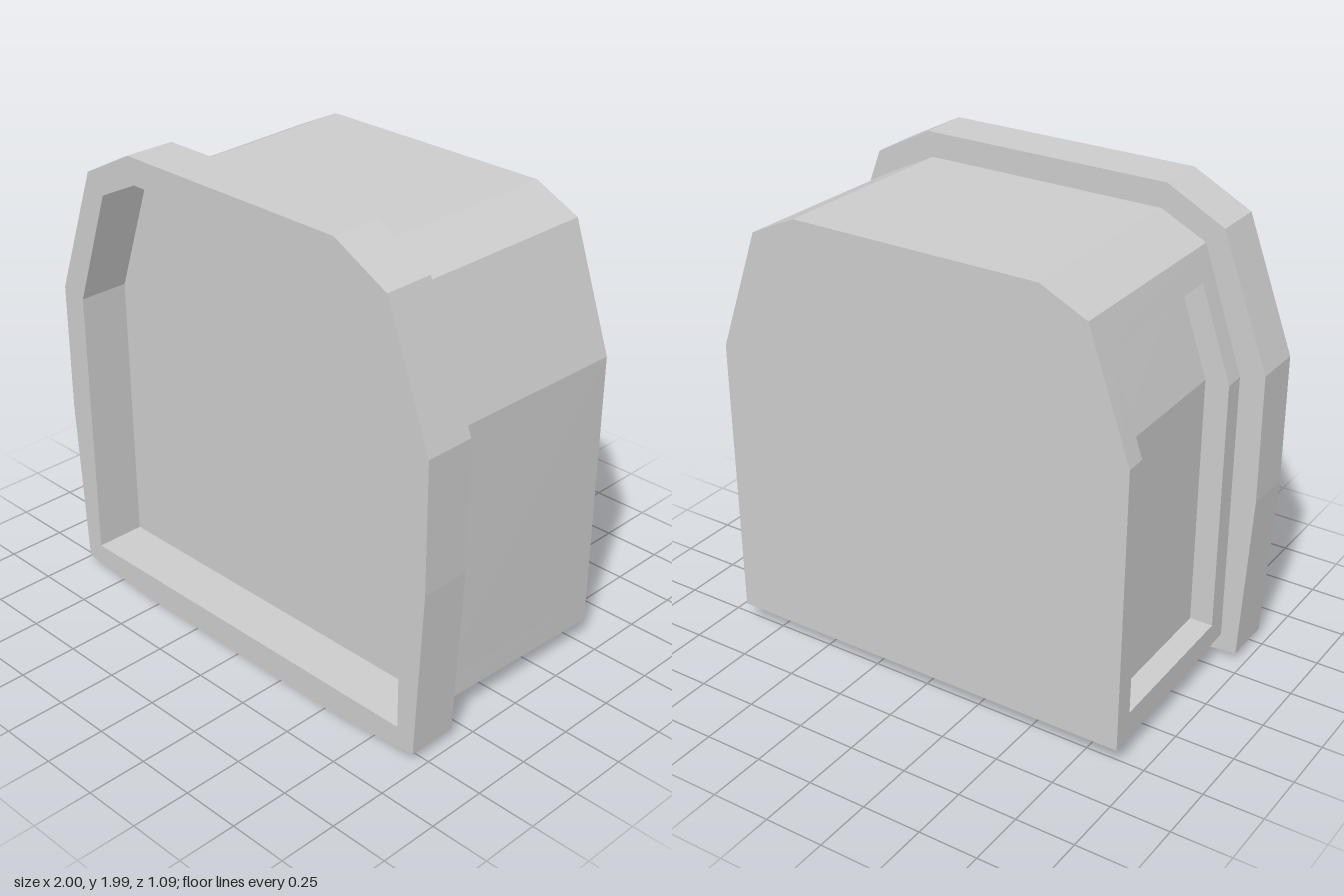
import * as THREE from 'three';

const FRONT = 0.545, STEP = 0.33, BACK = -0.545;

// Full symmetric ring, counter-clockwise from the front, from one half listed top to bottom
const ringOf = (half) => [
  ...half.map(([x, y]) => [-x, y]),
  ...half.slice().reverse(),
];

// Body half-section; the points at 2 and 4 mark the top and bottom of the side recess
function bodyHalf(topX, topY, cornerX, cornerY, waistX, waistY, footX, footY) {
  const mix = (x0, y0, x1, y1, y) => [x0 + ((x1 - x0) * (y - y0)) / (y1 - y0), y];
  return [
    [topX, topY], [cornerX, cornerY],
    mix(cornerX, cornerY, waistX, waistY, 1.67),
    [waistX, waistY],
    mix(waistX, waistY, footX, footY, 0.2),
    [footX, footY],
  ];
}

function bodyGeometry() {
  const front = ringOf(bodyHalf(0.525, 1.885, 0.72, 1.79, 0.895, 1.28, 0.89, 0.105));
  const back = ringOf(bodyHalf(0.535, 1.895, 0.735, 1.8, 0.915, 1.285, 0.905, 0.08));
  const n = front.length, pos = [];
  const tri = (a, b, c) => pos.push(...a, ...b, ...c);
  const quad = (a, b, c, d) => { tri(a, b, c); tri(a, c, d); };

  // Point i of the section at depth z, optionally pushed inwards from the -x side
  const at = (i, z, inset = 0) => {
    const t = (STEP - z) / (STEP - BACK), f = front[i % n], b = back[i % n];
    return [f[0] + (b[0] - f[0]) * t + inset, f[1] + (b[1] - f[1]) * t, z];
  };
  const strip = (i, z0, z1, inset) =>
    quad(at(i, z0, inset), at(i, z1, inset), at(i + 1, z1, inset), at(i + 1, z0, inset));

  const zA = 0.235, zB = -0.455, depth = 0.1;
  for (let i = 0; i < n; i++) {
    if (i !== 2 && i !== 3) { strip(i, STEP, BACK); continue; }
    // Border, floor and end walls of the side recess
    strip(i, STEP, zA);
    strip(i, zB, BACK);
    strip(i, zA, zB, depth);
    quad(at(i, zA), at(i, zA, depth), at(i + 1, zA, depth), at(i + 1, zA));
    quad(at(i + 1, zB), at(i + 1, zB, depth), at(i, zB, depth), at(i, zB));
  }
  // Ceiling and sill of the recess
  quad(at(2, zB), at(2, zB, depth), at(2, zA, depth), at(2, zA));
  quad(at(4, zA), at(4, zA, depth), at(4, zB, depth), at(4, zB));

  // Front panel and back
  for (let i = 1; i < n - 1; i++) {
    tri(at(0, STEP), at(i, STEP), at(i + 1, STEP));
    tri(at(0, BACK), at(i + 1, BACK), at(i, BACK));
  }

  const geo = new THREE.BufferGeometry();
  geo.setAttribute('position', new THREE.Float32BufferAttribute(pos, 3));
  geo.computeVertexNormals();
  return geo;
}

// Raised rim around the front opening
function rimGeometry() {
  const points = (half) => ringOf(half).map(([x, y]) => new THREE.Vector2(x, y));
  const shape = new THREE.Shape(points([
    [0.545, 1.99], [0.795, 1.86], [1, 1.31], [1, 0.76], [0.96, 0.035], [0.55, 0],
  ]));
  shape.holes.push(new THREE.Path(points([
    [0.515, 1.88], [0.71, 1.785], [0.885, 1.29], [0.88, 0.12],
  ])));
  return new THREE.ExtrudeGeometry(shape, { depth: FRONT - STEP, bevelEnabled: false })
    .translate(0, 0, STEP);
}

export function createModel() {
  const material = new THREE.MeshStandardMaterial({ color: 0xcccccc, flatShading: true });
  const group = new THREE.Group();
  const add = (name, geometry) => {
    const mesh = new THREE.Mesh(geometry, material);
    mesh.name = name;
    group.add(mesh);
  };
  add('body', bodyGeometry());
  add('frontRim', rimGeometry());
  return group;
}
